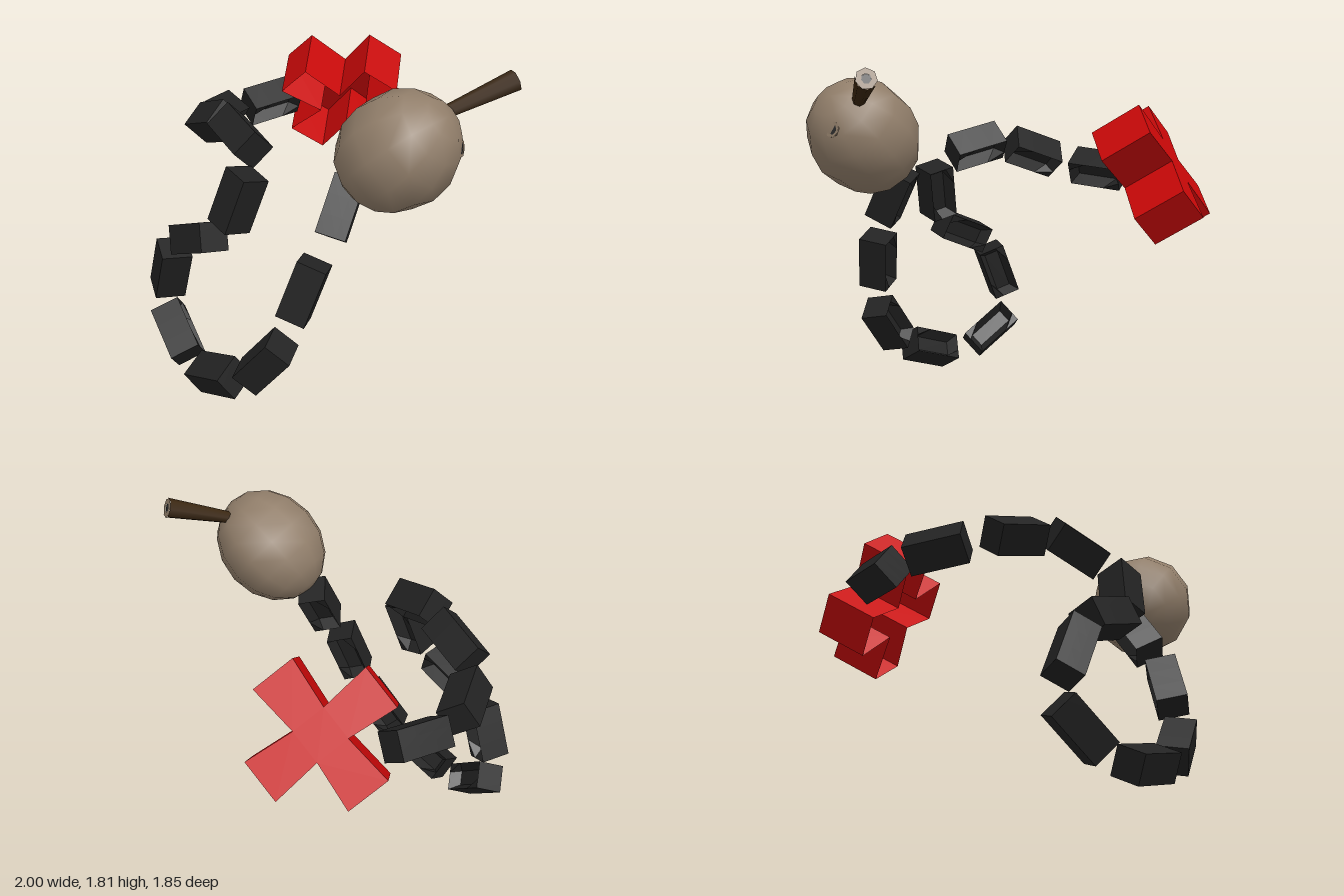
import * as THREE from 'three';

const mat = (name, color, side = THREE.FrontSide) => {
  const m = new THREE.MeshStandardMaterial({ color, side });
  m.name = name;
  return m;
};
const V = (a) => new THREE.Vector3(...a);

// Box whose +z face sinks into a shallow tray with sloping walls
function trayBox(l, w, t, rim, depth) {
  const geo = new THREE.BoxGeometry(l, w, t, 3, 3, 1);
  const p = geo.attributes.position;
  for (let i = 0; i < p.count; i++) {
    const x = p.getX(i), y = p.getY(i);
    const inside = Math.abs(x) < l * 0.4 && Math.abs(y) < w * 0.4;
    if (inside && p.getZ(i) > 0) {
      p.setXYZ(i, Math.sign(x) * (l / 2 - rim), Math.sign(y) * (w / 2 - rim), t / 2 - depth);
    }
  }
  const flat = geo.toNonIndexed();
  flat.computeVertexNormals();
  return flat;
}

// Walls around a closed outline, from z0 up to z1
function outlineWalls(points, z0, z1) {
  const pos = [];
  points.forEach((a, i) => {
    const b = points[(i + 1) % points.length];
    pos.push(a.x, a.y, z0, b.x, b.y, z0, b.x, b.y, z1);
    pos.push(a.x, a.y, z0, b.x, b.y, z1, a.x, a.y, z1);
  });
  const geo = new THREE.BufferGeometry();
  geo.setAttribute('position', new THREE.Float32BufferAttribute(pos, 3));
  geo.computeVertexNormals();
  return geo;
}

export function createModel() {
  const group = new THREE.Group();
  const black = mat('charcoal', 0x222222);
  const red = mat('red', 0xca0808, THREE.DoubleSide);
  const tan = mat('tan', 0x917e6a);
  const brown = mat('dark brown', 0x3a260f);
  const dark = mat('hollow grey', 0x2c2c2c);

  const add = (parent, geo, material, name) => {
    const m = new THREE.Mesh(geo, material);
    m.name = name;
    parent.add(m);
    return m;
  };

  // Chain links: centre, long axis
  const links = [
    [[0.395, 1.125, 0.44], [-0.02, 0.26, -0.16]],
    [[0.35, 0.74, 0.65], [0.06, 0.29, -0.1]],
    [[0.2, 0.335, 0.78], [0.19, 0.23, -0.06]],
    [[-0.13, 0.135, 0.82], [0.29, 0.09, 0.01]],
    [[-0.54, 0.2, 0.75], [0.24, -0.18, 0.06]],
    [[-0.58, 0.57, 0.74], [0.11, 0.28, 0.02]],
    [[-0.32, 0.835, 0.75], [0.28, 0.11, 0.02]],
    [[-0.08, 1.095, 0.68], [0.08, 0.29, -0.07]],
    [[-0.24, 1.35, 0.515], [0.28, -0.07, 0.07]],
    [[-0.575, 1.31, 0.4], [0.28, 0.1, 0.07]],
    [[-0.845, 1.215, 0.13], [0.12, 0.03, 0.26]],
    [[-0.86, 1.2, -0.26], [-0.07, -0.03, 0.28]],
  ];
  const linkGeo = trayBox(0.3, 0.152, 0.16, 0.035, 0.06);
  const middle = new THREE.Vector3(-0.1, 0.7, -0.1);
  links.forEach(([c, d], i) => {
    const link = add(group, linkGeo, black, 'chainLink' + (i + 1));
    // the recessed side of each link looks towards the middle of the coil
    const axis = V(d).normalize();
    const side = new THREE.Vector3().crossVectors(middle.clone().sub(V(c)), axis).normalize();
    const inner = new THREE.Vector3().crossVectors(axis, side);
    link.quaternion.setFromRotationMatrix(new THREE.Matrix4().makeBasis(axis, side, inner));
    link.position.set(...c);
  });

  // Red cross at the end of the chain: a hollow shell, open on the inner side
  const a = 0.09, b = 0.35, e = 0.115;
  const outline = [
    [a, a], [e, b], [-e, b], [-a, a], [-b, e], [-b, -e],
    [-a, -a], [-e, -b], [e, -b], [a, -a], [b, -e], [b, e],
  ].map(([x, y]) => new THREE.Vector2(x, y));
  const cross = new THREE.Group();
  cross.name = 'redCross';
  const cap = new THREE.ShapeGeometry(new THREE.Shape(outline)).translate(0, 0, 0.14);
  add(cross, cap, red, 'crossFace');
  add(cross, outlineWalls([...outline].reverse(), 0.14, -0.14), red, 'crossWalls');
  const armX = V([0.76, 0.64, -0.08]).normalize();
  const n = armX.clone().cross(V([-0.46, 0.52, 0.73])).negate().normalize();
  const armY = n.clone().cross(armX);
  cross.quaternion.setFromRotationMatrix(new THREE.Matrix4().makeBasis(armX, armY, n));
  cross.position.set(-0.55, 1.25, -0.565);
  group.add(cross);

  // Rounded fruit-like head, slightly long along a tilted axis
  const up = new THREE.Vector3(0, 1, 0);
  const head = add(group, new THREE.SphereGeometry(1, 11, 8), tan, 'head');
  head.scale.set(0.282, 0.325, 0.282);
  head.quaternion.setFromUnitVectors(up, V([0.72, 0.64, -0.2]).normalize());
  head.position.set(0.65, 1.452, 0.32);

  // Hollow tubes: outer wall, pale rim and dark hole
  function tube(name, from, to, r0, r1, wall, holeR) {
    const p = V(from), q = V(to);
    const len = p.distanceTo(q);
    const t = new THREE.Group();
    t.name = name;
    t.position.copy(p);
    t.quaternion.setFromUnitVectors(up, q.clone().sub(p).normalize());
    add(t, new THREE.CylinderGeometry(r1, r0, len, 7, 1, true).translate(0, len / 2, 0), wall, 'tubeWall');
    const rim = new THREE.RingGeometry(holeR, r1, 7).rotateX(-Math.PI / 2).rotateY(Math.PI / 2);
    add(t, rim.translate(0, len, 0), tan, 'tubeRim');
    const hole = new THREE.CircleGeometry(holeR, 7).rotateX(-Math.PI / 2).rotateY(Math.PI / 2);
    add(t, hole.translate(0, len - 0.002, 0), dark, 'tubeHole');
    group.add(t);
  }
  tube('stalk', [0.76, 1.612, 0.21], [0.945, 1.75, -0.155], 0.028, 0.054, brown, 0.025);
  tube('sideNub', [0.82, 1.49, 0.23], [0.92, 1.503, 0.194], 0.045, 0.043, tan, 0.029);

  return group;
}
